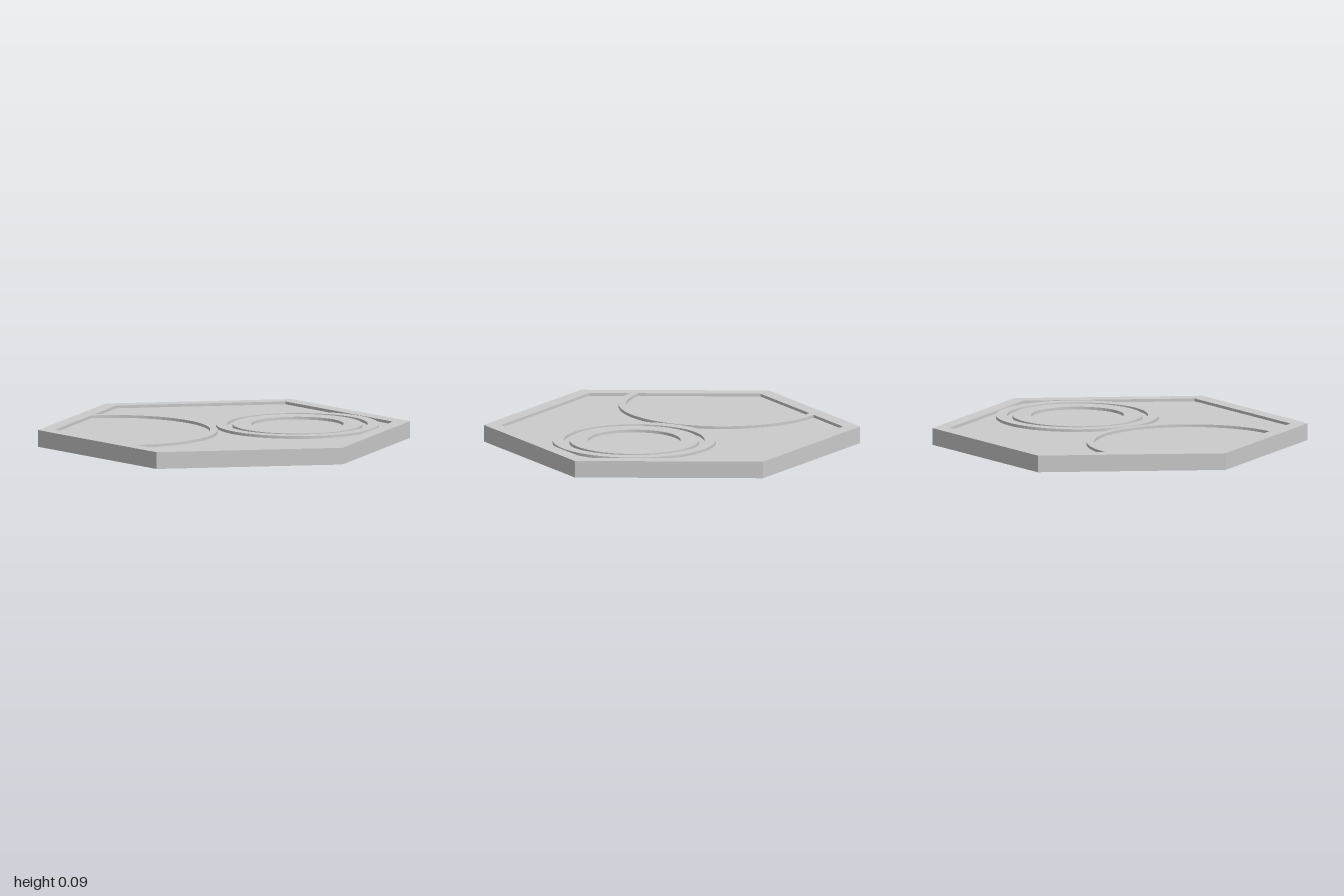
import * as THREE from 'three';
import { toCreasedNormals } from 'three/addons/utils/BufferGeometryUtils.js';

const HEIGHT = 0.09, FLOOR = 0.075;
const APOTHEM = 0.787, INNER = APOTHEM / Math.cos(Math.PI / 6);
const rad = THREE.MathUtils.degToRad;
const hexPoint = (r, deg) => new THREE.Vector2(r * Math.cos(rad(deg)), r * Math.sin(rad(deg)));

// Shapes are drawn in plan as (x, -z), then laid flat on the recessed floor
const ARC = { x: -0.545, y: 0.26 };
const RING = { x: 0.345, y: -0.194 };

// Pocket bounded by the arc and by the given corners of the inner hexagon
function pocket(radius, corners) {
  const a0 = -Math.PI + Math.acos((APOTHEM + ARC.x) / radius);
  const toEdge = APOTHEM - (ARC.x * -0.5 + ARC.y * Math.sqrt(3) / 2);
  const a1 = rad(120) - Math.acos(toEdge / radius);
  const path = new THREE.Path().absarc(ARC.x, ARC.y, radius, a0, a1, false);
  for (const deg of corners) {
    const p = hexPoint(INNER, deg);
    path.lineTo(p.x, p.y);
  }
  path.closePath();
  return path;
}

export function createModel() {
  const model = new THREE.Group();
  const material = new THREE.MeshStandardMaterial({ color: 0xcccccc });

  const add = (name, geometry) => {
    const mesh = new THREE.Mesh(toCreasedNormals(geometry, rad(30)), material);
    mesh.name = name;
    model.add(mesh);
    return mesh;
  };
  const addRaised = (name, shape) => {
    const geometry = new THREE.ExtrudeGeometry(shape, {
      depth: HEIGHT - FLOOR, bevelEnabled: false, curveSegments: 64,
    });
    geometry.rotateX(-Math.PI / 2);
    add(name, geometry).position.y = FLOOR;
  };

  // Solid hexagonal base, its top is the recessed floor
  add('base', new THREE.CylinderGeometry(1, 1, FLOOR, 6)).position.y = FLOOR / 2;

  // Rim joined to the curved wall, leaving two pockets
  const rim = new THREE.Shape([30, 90, 150, 210, 270, 330].map((d) => hexPoint(1, d)));
  rim.holes.push(pocket(0.514, [150]), pocket(0.555, [90, 30, -30, -90, -150]));
  addRaised('rimAndCurvedWall', rim);

  // Two concentric raised rings around a round recess
  for (const [name, outer, inner] of [['outerRing', 0.434, 0.374], ['innerRing', 0.345, 0.246]]) {
    const ring = new THREE.Shape().absarc(RING.x, RING.y, outer, 0, Math.PI * 2, false);
    ring.holes.push(new THREE.Path().absarc(RING.x, RING.y, inner, 0, Math.PI * 2, true));
    addRaised(name, ring);
  }
  return model;
}
